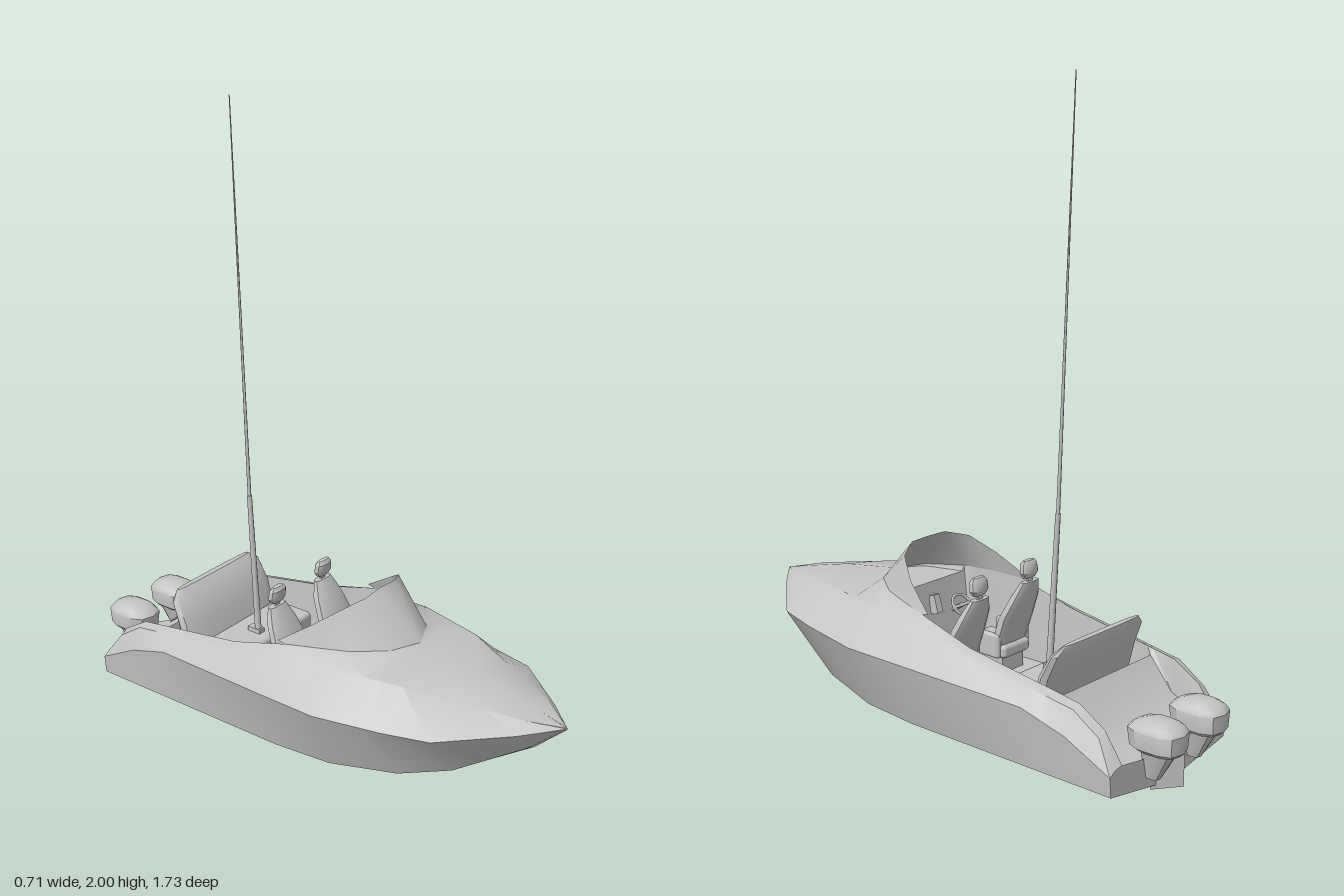
import * as THREE from 'three';
import { toCreasedNormals } from 'three/addons/utils/BufferGeometryUtils.js';
import { RoundedBoxGeometry } from 'three/addons/geometries/RoundedBoxGeometry.js';

const paleGrey = new THREE.MeshStandardMaterial({ color: 0xc4c4c4, side: THREE.DoubleSide });
paleGrey.name = 'paleGrey';

function mesh(name, geometry, parent, position = [0, 0, 0], rotationX = 0) {
  const m = new THREE.Mesh(geometry, paleGrey);
  m.name = name;
  m.position.set(...position);
  m.rotation.x = rotationX;
  parent.add(m);
  return m;
}

// Skin a list of equal-length rings; closed rings are capped at both ends
function loft(rings, { closed = true, crease = 0.6 } = {}) {
  const pos = [];
  const tri = (a, b, c) => {
    const [p, q, r] = [a, b, c].map((v) => new THREE.Vector3(...v));
    if (q.clone().sub(p).cross(r.clone().sub(p)).length() > 1e-7) pos.push(...a, ...b, ...c);
  };
  const n = rings[0].length;
  const count = closed ? n : n - 1;
  for (let i = 0; i < rings.length - 1; i++) {
    for (let j = 0; j < count; j++) {
      const k = (j + 1) % n;
      tri(rings[i][j], rings[i][k], rings[i + 1][k]);
      tri(rings[i][j], rings[i + 1][k], rings[i + 1][j]);
    }
  }
  if (closed) {
    [rings[0], rings[rings.length - 1]].forEach((ring, end) => {
      const c = [0, 1, 2].map((a) => ring.reduce((s, p) => s + p[a], 0) / n);
      ring.forEach((p, j) => {
        const q = ring[(j + 1) % n];
        if (end) tri(c, p, q); else tri(c, q, p);
      });
    });
  }
  const g = new THREE.BufferGeometry();
  g.setAttribute('position', new THREE.Float32BufferAttribute(pos, 3));
  return toCreasedNormals(g, crease);
}

// Horizontal rounded-rectangle ring for parts skinned upwards
function ringXZ(y, cz, rx, rz, sides = 10) {
  const soft = (v) => Math.sign(v) * Math.pow(Math.abs(v), 0.7);
  return Array.from({ length: sides }, (_, i) => {
    const t = (i / sides) * Math.PI * 2;
    return [rx * soft(Math.sin(t)), y, cz + rz * soft(Math.cos(t))];
  });
}

// Tapered rod between two points
function rod(name, a, b, r0, r1, parent) {
  const p = new THREE.Vector3(...a), q = new THREE.Vector3(...b);
  const d = q.clone().sub(p);
  const m = mesh(name, new THREE.CylinderGeometry(r1, r0, d.length(), 8), parent);
  m.position.copy(p).add(q).multiplyScalar(0.5);
  m.quaternion.setFromUnitVectors(new THREE.Vector3(0, 1, 0), d.normalize());
}

// Lengthwise hull lines from stern to bow, each point as z, x, y
const keel = [[-0.75, 0, 0.003], [0.2, 0, 0.005], [0.42, 0, 0.03], [0.57, 0, 0.08], [0.65, 0, 0.16], [0.76, 0, 0.2], [0.865, 0, 0.3]];
const chine = [[-0.75, 0.28, 0.05], [0, 0.285, 0.056], [0.2, 0.27, 0.06], [0.42, 0.22, 0.085], [0.57, 0.15, 0.12], [0.76, 0.05, 0.22], [0.865, 0, 0.3]];
const gunwale = [[-0.75, 0.285, 0.11], [-0.6, 0.295, 0.19], [-0.45, 0.308, 0.24], [0, 0.347, 0.263], [0.2, 0.355, 0.268], [0.42, 0.315, 0.275], [0.57, 0.275, 0.28], [0.76, 0.11, 0.292], [0.865, 0, 0.302]];
const shoulder = [[-0.75, 0.26, 0.125], [-0.69, 0.258, 0.2], [-0.6, 0.26, 0.26], [-0.2, 0.27, 0.325], [0, 0.275, 0.36], [0.2, 0.25, 0.38], [0.42, 0.2, 0.375], [0.76, 0.07, 0.325], [0.865, 0, 0.304]];
const opening = [[-0.75, 0.23, 0.13], [-0.69, 0.23, 0.215], [-0.6, 0.23, 0.27], [-0.2, 0.24, 0.335], [0, 0.235, 0.392], [0.1, 0.21, 0.402], [0.2, 0.175, 0.408], [0.3, 0.1, 0.41], [0.345, 0, 0.41], [0.57, 0, 0.377], [0.865, 0, 0.305]];
// Aft deck, cockpit floor and dashboard shelf
const floor = [[-0.75, 0, 0.1], [-0.69, 0, 0.12], [-0.6, 0, 0.17], [-0.52, 0, 0.265], [-0.5, 0, 0.13], [0.17, 0, 0.13], [0.2, 0, 0.39], [0.345, 0, 0.41]];

// Point x, y on a hull line at a given z
function sample(line, z) {
  let i = 0;
  while (i < line.length - 2 && z > line[i + 1][0]) i++;
  const [a, b] = [line[i], line[i + 1]];
  const t = THREE.MathUtils.clamp((z - a[0]) / (b[0] - a[0]), 0, 1);
  return [a[1] + (b[1] - a[1]) * t, a[2] + (b[2] - a[2]) * t];
}

function hullGeometry() {
  const lines = [keel, chine, gunwale, shoulder, opening, floor];
  const stations = [...new Set(lines.flat().map((p) => p[0]))].sort((a, b) => a - b);
  return loft(stations.map((z) => {
    const [ex, ey] = sample(opening, z);
    const fy = z >= 0.345 ? ey : Math.min(ey, sample(floor, z)[1]);
    const half = [chine, gunwale, shoulder, opening].map((line) => sample(line, z));
    half.push([ex * 0.95, fy]);
    const mirrored = half.map(([x, y]) => [-x, y]).reverse();
    return [sample(keel, z), ...half, [0, fy], ...mirrored].map(([x, y]) => [x, y, z]);
  }), { crease: 0.5 });
}

// Wraparound windscreen ruled from the cockpit edge up to its rim
function windscreenGeometry() {
  const base = [0.345, 0.3, 0.2, 0.1, 0].map((z) => [...sample(opening, z), z]);
  const rim = [[0, 0.55, 0.19], [0.075, 0.547, 0.193], [0.15, 0.525, 0.155], [0.2, 0.47, 0.08], [0.236, 0.398, -0.025]];
  const both = (half) => [...half.slice(1).reverse().map(([x, y, z]) => [-x, y, z]), ...half];
  return loft([both(base), both(rim)], { closed: false, crease: 0.8 });
}

function addSeat(side, parent) {
  const seat = new THREE.Group();
  seat.name = side > 0 ? 'leftSeat' : 'rightSeat';
  seat.position.x = side * 0.118;
  parent.add(seat);
  mesh('seatBase', new THREE.BoxGeometry(0.1, 0.07, 0.14), seat, [0, 0.155, 0.01]);
  mesh('seatCushion', new RoundedBoxGeometry(0.13, 0.045, 0.17, 2, 0.015), seat, [0, 0.205, 0.005]);
  mesh('seatBack', loft([
    ringXZ(0.2, -0.035, 0.074, 0.025), ringXZ(0.32, -0.075, 0.076, 0.025),
    ringXZ(0.39, -0.107, 0.06, 0.023), ringXZ(0.44, -0.127, 0.038, 0.013),
  ]), seat);
  mesh('headrest', loft([
    ringXZ(0.452, -0.125, 0.025, 0.01), ringXZ(0.468, -0.125, 0.036, 0.017),
    ringXZ(0.495, -0.122, 0.034, 0.016), ringXZ(0.507, -0.122, 0.024, 0.008),
  ]), seat);
  mesh('headrestPost', new THREE.BoxGeometry(0.02, 0.04, 0.008), seat, [0, 0.445, -0.126]);
  for (const s of [-1, 1]) {
    mesh('seatBolster', new RoundedBoxGeometry(0.022, 0.08, 0.13, 2, 0.01), seat, [s * 0.068, 0.225, 0]);
  }
}

function addOutboard(side, parent) {
  const motor = new THREE.Group();
  motor.name = side > 0 ? 'leftOutboard' : 'rightOutboard';
  motor.position.x = side * 0.102;
  parent.add(motor);
  mesh('motorCowl', loft([
    ringXZ(0.14, -0.785, 0.045, 0.065), ringXZ(0.152, -0.78, 0.058, 0.083),
    ringXZ(0.205, -0.778, 0.063, 0.088), ringXZ(0.222, -0.782, 0.052, 0.07),
    ringXZ(0.235, -0.785, 0.03, 0.035),
  ], { crease: 0.7 }), motor);
  mesh('motorLeg', loft([
    ringXZ(0.055, -0.765, 0.018, 0.022), ringXZ(0.145, -0.785, 0.042, 0.055),
  ]), motor);
}

export function createModel() {
  const boat = new THREE.Group();
  boat.name = 'speedboat';

  mesh('hullAndDeck', hullGeometry(), boat);
  mesh('windscreen', windscreenGeometry(), boat);

  // Pointed step at the middle of the transom
  mesh('transomStep', loft([0.002, 0.06, 0.1].map((y) => [[0.08, y, -0.74], [-0.08, y, -0.74], [0, y, -0.8]])), boat);

  for (const side of [-1, 1]) {
    addSeat(side, boat);
    addOutboard(side, boat);
  }

  // Rear bench with a raked, rounded backrest
  mesh('benchCushion', new RoundedBoxGeometry(0.44, 0.1, 0.16, 2, 0.015), boat, [0, 0.18, -0.33]);
  mesh('benchBack', loft([
    ringXZ(0.17, -0.42, 0.222, 0.03, 16), ringXZ(0.3, -0.452, 0.222, 0.033, 16),
    ringXZ(0.37, -0.485, 0.215, 0.025, 16), ringXZ(0.398, -0.5, 0.18, 0.01, 16),
  ]), boat);

  // Steering wheel and throttle on the dashboard
  mesh('steeringWheel', new THREE.TorusGeometry(0.038, 0.005, 6, 16), boat, [-0.11, 0.3, 0.15], 0.7);
  mesh('wheelSpoke', new THREE.BoxGeometry(0.07, 0.01, 0.006), boat, [-0.11, 0.3, 0.15], 0.7);
  rod('steeringColumn', [-0.11, 0.27, 0.2], [-0.11, 0.3, 0.15], 0.008, 0.008, boat);
  mesh('throttle', new THREE.BoxGeometry(0.025, 0.06, 0.03), boat, [-0.015, 0.32, 0.18], 0.3);

  // Tall whip antenna
  mesh('antennaFoot', new THREE.BoxGeometry(0.026, 0.02, 0.05), boat, [0, 0.235, -0.315]);
  rod('antennaBase', [0, 0.23, -0.305], [0, 0.72, -0.332], 0.011, 0.008, boat);
  rod('antennaWhip', [0, 0.72, -0.332], [0, 2, -0.378], 0.006, 0.0015, boat);

  return boat;
}
